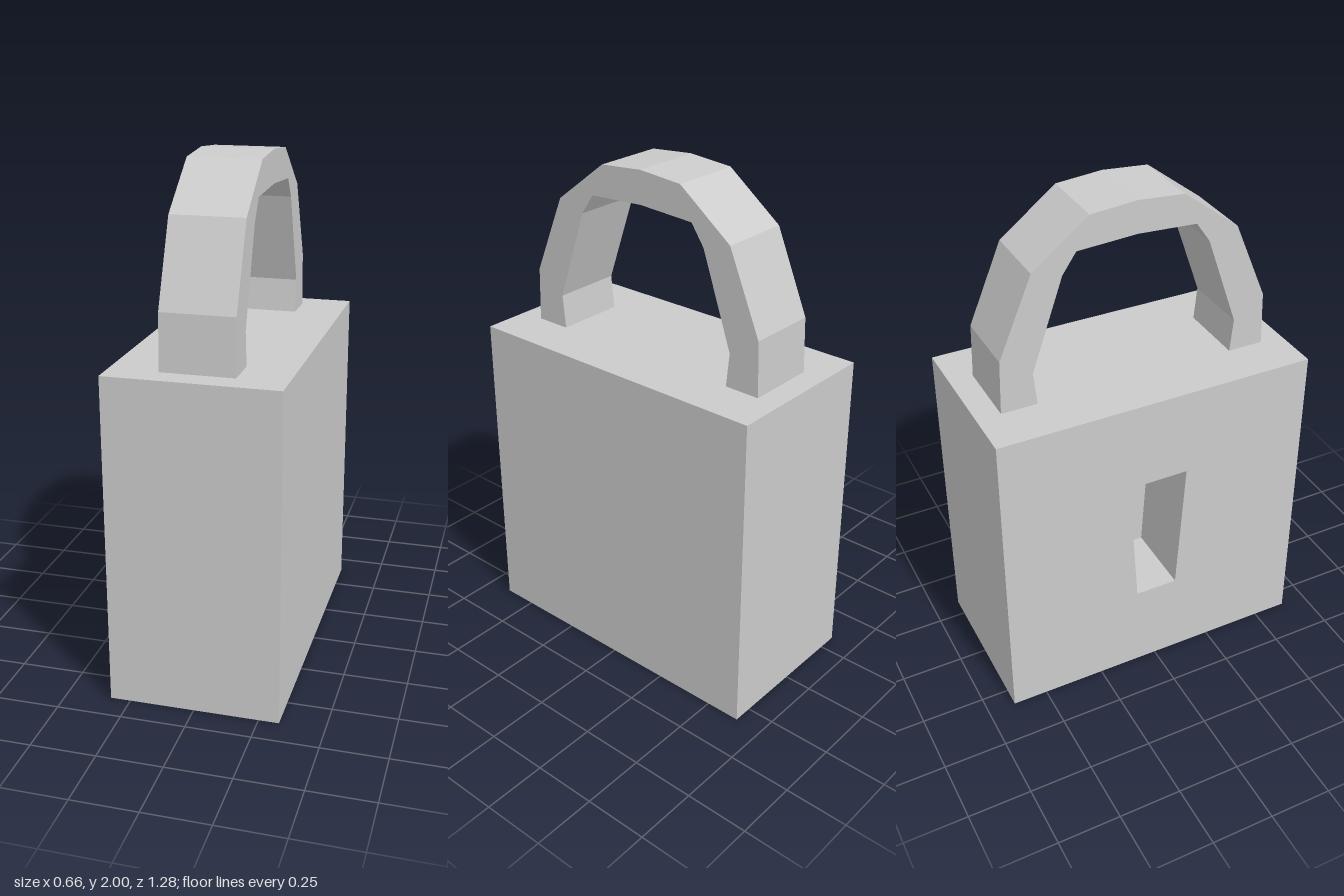
import * as THREE from 'three';

const HALF_X = 0.328, HALF_Z = 0.64, BODY_TOP = 1.285;
const KEYHOLE_DEPTH = 0.3;

const material = new THREE.MeshStandardMaterial({ color: 0xcccccc, flatShading: true });

// Lofts four-cornered rings, given as [x, [[z, y] * 4]], and caps both ends.
function loftRings(rings) {
  const positions = [];
  const point = (i, j) => {
    const [x, corners] = rings[i];
    const [z, y] = corners[j % 4];
    return [x, y, z];
  };
  const quad = (a, b, c, d) => positions.push(...a, ...b, ...c, ...a, ...c, ...d);
  for (let i = 0; i < rings.length - 1; i++) {
    for (let j = 0; j < 4; j++) {
      quad(point(i, j), point(i, j + 1), point(i + 1, j + 1), point(i + 1, j));
    }
  }
  const last = rings.length - 1;
  quad(point(0, 3), point(0, 2), point(0, 1), point(0, 0));
  quad(point(last, 0), point(last, 1), point(last, 2), point(last, 3));
  const geometry = new THREE.BufferGeometry();
  geometry.setAttribute('position', new THREE.Float32BufferAttribute(positions, 3));
  geometry.computeVertexNormals();
  return geometry;
}

// Block whose right-hand side turns inward into a tapered keyhole recess
function createBody() {
  const block = [[-HALF_Z, 0], [HALF_Z, 0], [HALF_Z, BODY_TOP], [-HALF_Z, BODY_TOP]];
  const keyhole = [[-0.085, 0.37], [0.088, 0.37], [0.122, 0.925], [-0.122, 0.925]];
  const body = new THREE.Mesh(loftRings([
    [HALF_X, block],
    [-HALF_X, block],
    [-HALF_X, keyhole],
    [-HALF_X + KEYHOLE_DEPTH, keyhole],
  ]), material);
  body.name = 'bodyWithKeyhole';
  return body;
}

// Faceted arch, mirrored front to back, extruded across the width
function createShackle() {
  const width = 0.28;
  const outer = [[0.545, BODY_TOP], [0.538, 1.5], [0.405, 1.815], [0.183, 1.985]];
  const inner = [[0.402, BODY_TOP], [0.415, 1.418], [0.29, 1.78], [0.235, 1.86]];
  const arch = (half, top) => [
    ...half, [0, top], ...half.map(([z, y]) => [-z, y]).reverse(),
  ];
  const outline = [...arch(outer, 2), ...arch(inner, 1.873).reverse()];
  const shape = new THREE.Shape(outline.map(([z, y]) => new THREE.Vector2(z, y)));
  const geometry = new THREE.ExtrudeGeometry(shape, { depth: width, bevelEnabled: false });
  geometry.translate(0, 0, -width / 2).rotateY(-Math.PI / 2);
  const shackle = new THREE.Mesh(geometry, material);
  shackle.name = 'shackle';
  return shackle;
}

export function createModel() {
  const padlock = new THREE.Group();
  padlock.name = 'padlock';
  padlock.add(createBody(), createShackle());
  return padlock;
}
